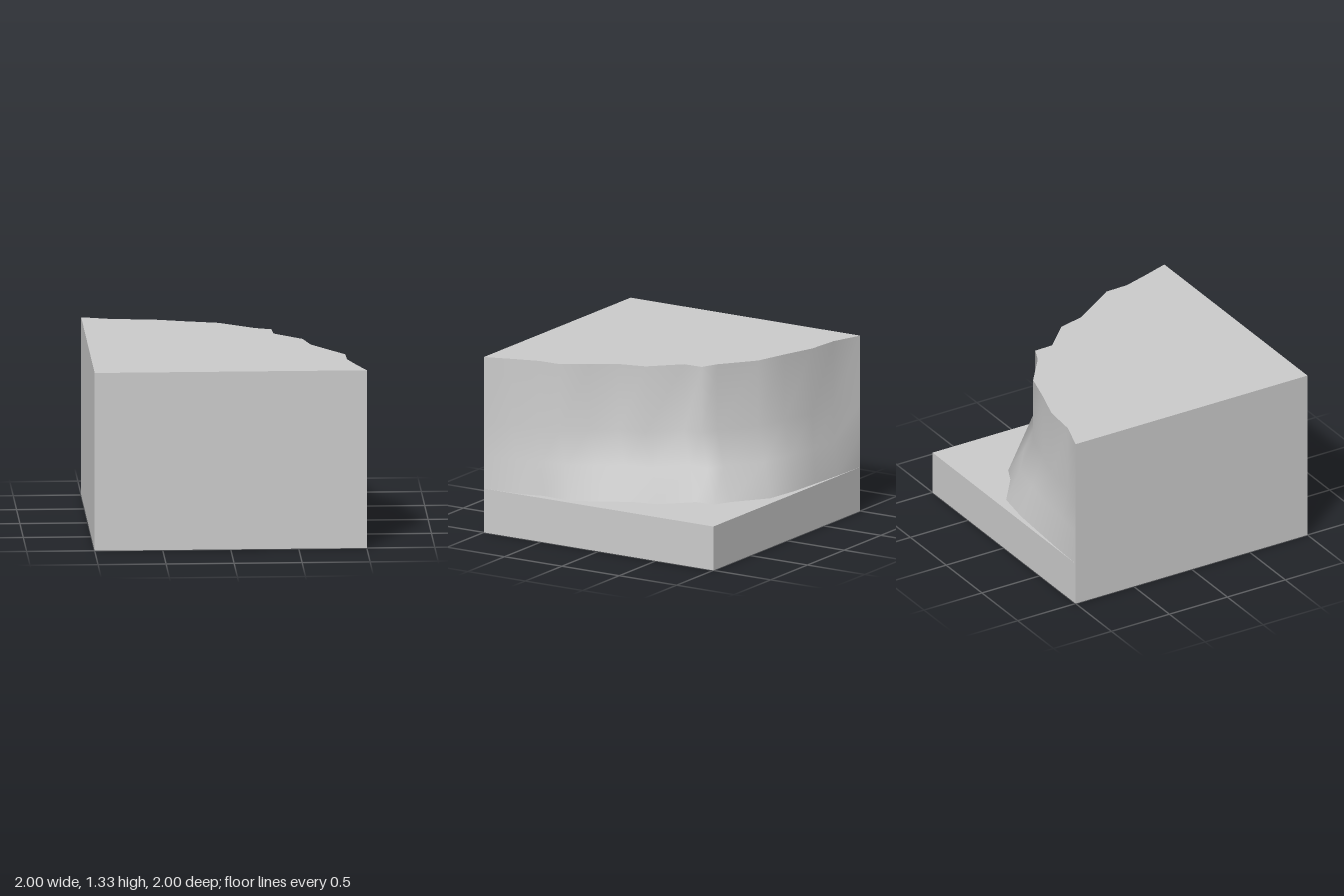
import * as THREE from 'three';

const BASE = 0.333, MID = 0.833, TOP = 1.333;

// Cliff edge seen from above: [rim x, rim z, foot x, foot z]
const RUNGS = [
  [-1, -1, -1, -1],
  [-0.76, -0.92, -0.7, -0.99],
  [-0.5, -0.9, -0.43, -0.975],
  [-0.25, -0.82, -0.17, -0.96],
  [0, -0.75, 0.1, -0.92],
  [0.25, -0.555, 0.35, -0.73],
  [0.375, -0.5, 0.477, -0.67],
  [0.38, -0.35, 0.482, -0.52],
  [0.585, -0.145, 0.687, -0.315],
  [0.635, 0.06, 0.735, -0.11],
  [0.752, 0.24, 0.847, 0.07],
  [0.87, 0.42, 0.95, 0.285],
  [0.875, 0.6, 0.94, 0.52],
  [0.935, 0.8, 0.985, 0.68],
  [1, 1, 1, 1],
];

// Rock face: upright above MID, flaring out to the foot below it
function cliffGeometry() {
  const rows = [[BASE, 1], [(BASE + MID) / 2, 0.5], [MID, 0], [TOP, 0]];
  const n = rows.length, pos = [], index = [];
  RUNGS.forEach(([x, z, fx, fz], i) => {
    rows.forEach(([y, flare], j) => {
      pos.push(x + (fx - x) * flare, y, z + (fz - z) * flare);
      if (i < RUNGS.length - 1 && j < n - 1) {
        const a = i * n + j, b = a + n;
        index.push(b, a, a + 1, b, a + 1, b + 1);
      }
    });
  });
  const g = new THREE.BufferGeometry();
  g.setAttribute('position', new THREE.Float32BufferAttribute(pos, 3));
  g.setIndex(index);
  g.computeVertexNormals();
  return g;
}

export function createModel() {
  const group = new THREE.Group();
  const material = new THREE.MeshStandardMaterial({ color: 0xcccccc });
  const add = (name, geometry) => {
    const mesh = new THREE.Mesh(geometry, material);
    mesh.name = name;
    group.add(mesh);
    return mesh;
  };

  // Low ground slab
  add('groundSlab', new THREE.BoxGeometry(2, BASE, 2)).position.y = BASE / 2;

  // Flat plateau bounded by the cliff rim and the front left corner
  const outline = [...RUNGS.map(([x, z]) => new THREE.Vector2(x, -z)), new THREE.Vector2(-1, -1)];
  const plateau = new THREE.ShapeGeometry(new THREE.Shape(outline)).rotateX(-Math.PI / 2);
  add('plateauTop', plateau).position.y = TOP;

  // Straight outer walls of the plateau
  const wall = new THREE.PlaneGeometry(2, TOP - BASE);
  const wallY = (TOP + BASE) / 2;
  add('frontWall', wall).position.set(0, wallY, 1);
  const side = add('sideWall', wall);
  side.position.set(-1, wallY, 0);
  side.rotation.y = -Math.PI / 2;

  add('cliffFace', cliffGeometry());
  return group;
}
